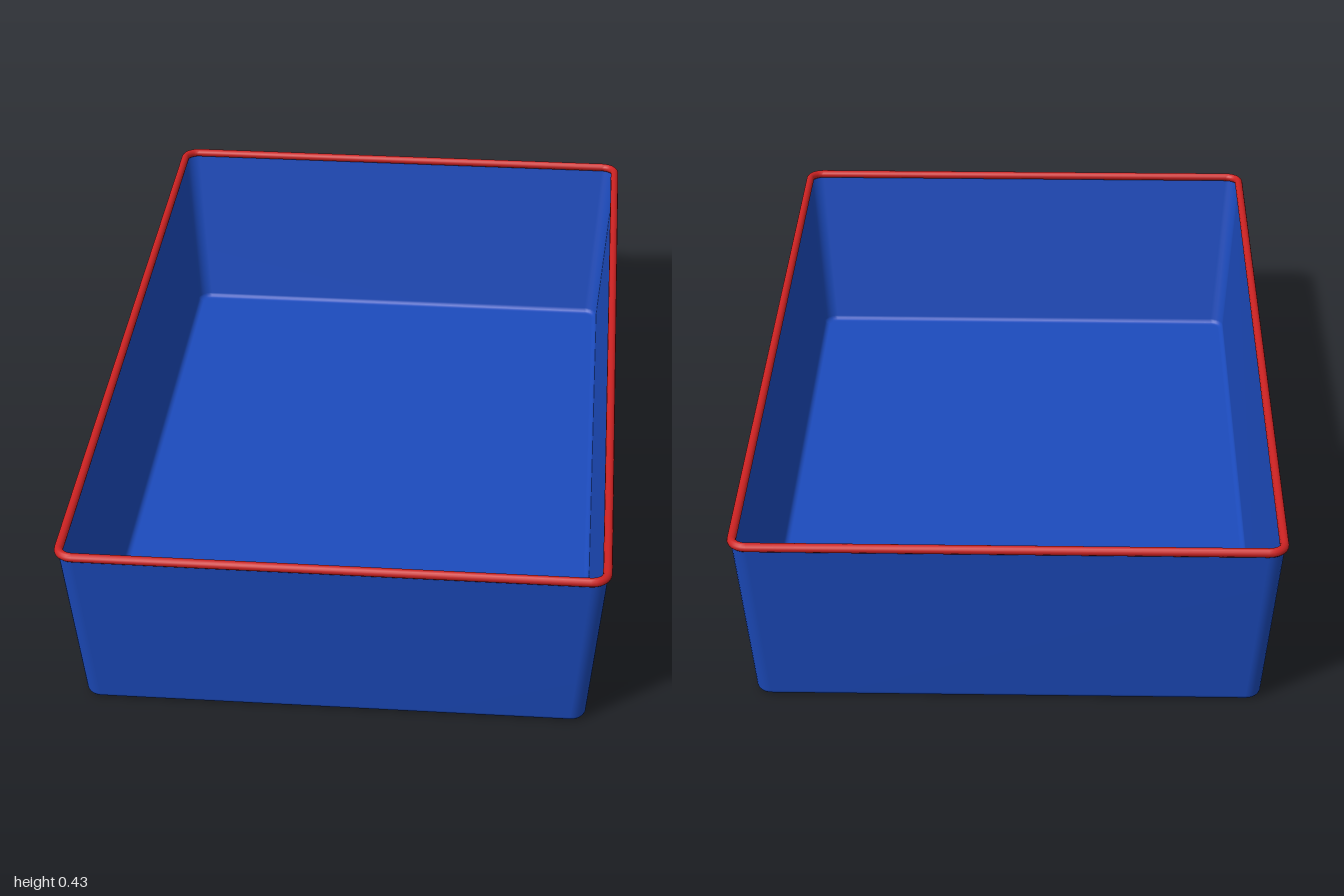
import * as THREE from 'three';

const CORNER_STEPS = 6;

// Rounded rectangle outline (half sizes hx, hz, corner radius r) at height y
function ring(hx, hz, r, y) {
  const points = [];
  const signs = [[1, 1], [-1, 1], [-1, -1], [1, -1]];
  signs.forEach(([sx, sz], corner) => {
    for (let i = 0; i <= CORNER_STEPS; i++) {
      const a = (corner + i / CORNER_STEPS) * Math.PI / 2;
      points.push([sx * (hx - r) + r * Math.cos(a), y, sz * (hz - r) + r * Math.sin(a)]);
    }
  });
  return points;
}

// Skin a list of equal-length rings; closed joins the last ring to the first
function loft(rings, closed = false) {
  const n = rings[0].length;
  const index = [];
  const spans = closed ? rings.length : rings.length - 1;
  for (let k = 0; k < spans; k++) {
    const lower = k * n, upper = ((k + 1) % rings.length) * n;
    for (let i = 0; i < n; i++) {
      const j = (i + 1) % n;
      index.push(lower + i, upper + i, lower + j, lower + j, upper + i, upper + j);
    }
  }
  const geometry = new THREE.BufferGeometry();
  geometry.setAttribute('position', new THREE.Float32BufferAttribute(rings.flat(2), 3));
  geometry.setIndex(index);
  geometry.computeVertexNormals();
  return geometry;
}

export function createModel() {
  const group = new THREE.Group();
  group.name = 'tray';

  // Thin-walled basin: flat floor, small rounded bottom edge, flared walls
  const basinRings = [ring(0, 0, 0, 0), ring(0.54, 0.915, 0.02, 0)];
  const fillet = 0.014;
  for (let i = 1; i <= 4; i++) {
    const a = (i / 4) * Math.PI * 0.45;
    const out = fillet * Math.sin(a);
    basinRings.push(ring(0.54 + out, 0.915 + out, 0.02 + out, fillet * (1 - Math.cos(a))));
  }
  basinRings.push(ring(0.587, 0.992, 0.036, 0.415));
  const basin = new THREE.Mesh(
    loft(basinRings),
    new THREE.MeshStandardMaterial({ color: 0x1c4bbd, side: THREE.DoubleSide })
  );
  basin.name = 'basin';
  group.add(basin);

  // Round bead running along the top edge
  const bead = 0.01;
  const rimRings = [];
  for (let i = 0; i < 12; i++) {
    const a = (i / 12) * Math.PI * 2;
    const out = bead * Math.cos(a);
    rimRings.push(ring(0.585 + out, 0.99 + out, 0.034 + out, 0.415 + bead * Math.sin(a)));
  }
  const rim = new THREE.Mesh(
    loft(rimRings, true),
    new THREE.MeshStandardMaterial({ color: 0xcc2222 })
  );
  rim.name = 'rim';
  group.add(rim);

  return group;
}
